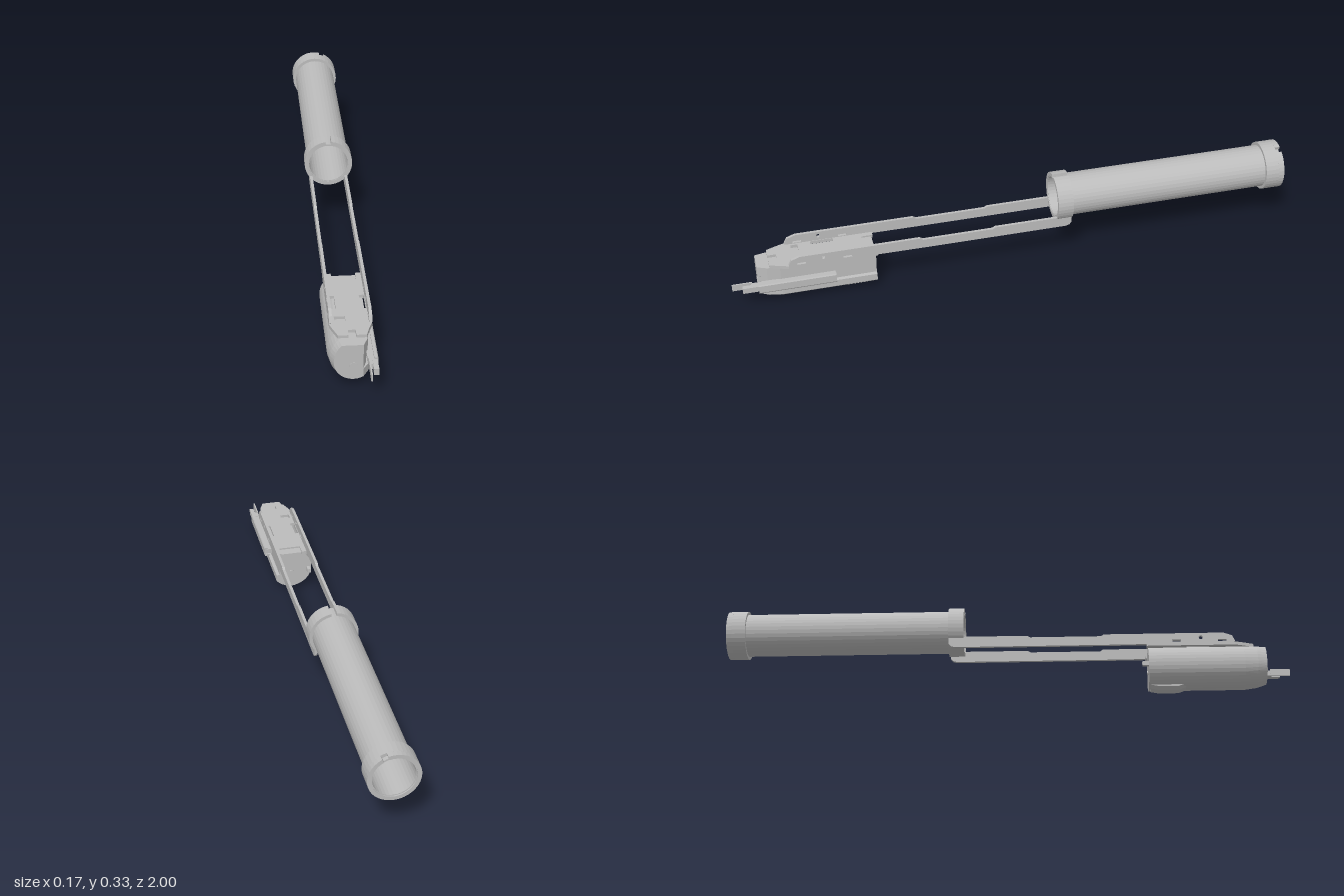
import * as THREE from 'three';

const steel = new THREE.MeshStandardMaterial({ color: 0xbcbcbc, flatShading: true, side: THREE.DoubleSide });
steel.name = 'grey steel';

const AXIS_Y = 0.245;

function add(group, name, geometry) {
  const mesh = new THREE.Mesh(geometry, steel);
  mesh.name = name;
  group.add(mesh);
  return mesh;
}

const vectors = (points) => points.map(([x, y]) => new THREE.Vector2(x, y));

function rectHole(x0, x1, y0, y1) {
  return new THREE.Path(vectors([[x0, y0], [x0, y1], [x1, y1], [x1, y0]]));
}

function addBox(group, name, x0, x1, y0, y1, z0, z1) {
  const mesh = add(group, name, new THREE.BoxGeometry(x1 - x0, y1 - y0, z1 - z0));
  mesh.position.set((x0 + x1) / 2, (y0 + y1) / 2, (z0 + z1) / 2);
}

function extrude(shape, depth) {
  return new THREE.ExtrudeGeometry(shape, { depth, bevelEnabled: false, curveSegments: 18 });
}

// Ring around the tube axis, with an optional gap at a given angle
function ring(inner, outer, z0, z1, gap = 0, at = Math.PI / 2) {
  const shape = new THREE.Shape();
  if (gap) {
    shape.absarc(0, 0, outer, at + gap, at + 2 * Math.PI - gap, false);
    shape.absarc(0, 0, inner, at + 2 * Math.PI - gap, at + gap, true);
  } else {
    shape.absarc(0, 0, outer, 0, 2 * Math.PI, false);
    shape.holes.push(new THREE.Path().absarc(0, 0, inner, 0, 2 * Math.PI, true));
  }
  return extrude(shape, z1 - z0).translate(0, AXIS_Y, z0);
}

// Skin over equal-length cross-sections [z, points], closed by end caps
function loft(sections) {
  const n = sections[0][1].length;
  const last = sections.length - 1;
  const positions = [];
  const index = [];
  for (const [z, pts] of sections) for (const [x, y] of pts) positions.push(x, y, z);
  for (let s = 0; s < last; s++) {
    for (let i = 0; i < n; i++) {
      const a = s * n + i, b = s * n + (i + 1) % n;
      index.push(a, b, b + n, a, b + n, a + n);
    }
  }
  const cap = (s) => THREE.ShapeUtils.triangulateShape(vectors(sections[s][1]), []);
  for (const [a, b, c] of cap(0)) index.push(a, c, b);
  for (const [a, b, c] of cap(last)) index.push(last * n + a, last * n + b, last * n + c);
  const geometry = new THREE.BufferGeometry();
  geometry.setAttribute('position', new THREE.Float32BufferAttribute(positions, 3));
  geometry.setIndex(index);
  const flat = geometry.toNonIndexed();
  flat.computeVertexNormals();
  return flat;
}

// Counter-clockwise body section: round left and bottom, grooved right flank
function bodySection(radius, flank, upper, groove) {
  const pts = [];
  const start = Math.PI - Math.asin(0.062 / 0.078);
  const end = 2 * Math.PI - Math.acos(flank / radius);
  for (let i = 0; i <= 20; i++) {
    const a = start + (end - start) * i / 20;
    const height = a < Math.PI ? 0.078 : radius;
    pts.push([radius * Math.cos(a), 0.09 + height * Math.sin(a)]);
  }
  pts.push([flank, 0.064], [groove, 0.066], [groove, 0.11], [upper, 0.112], [upper, 0.152]);
  return pts;
}

function makeTube() {
  const tube = new THREE.Group();
  tube.name = 'tube';
  add(tube, 'tubeWall', ring(0.07, 0.0755, -0.995, -0.157));
  add(tube, 'rearCollar', ring(0.073, 0.0865, -0.98, -0.932));
  add(tube, 'rearCollarNotched', ring(0.073, 0.0865, -1, -0.98, 0.12, 1.2));
  add(tube, 'frontCollar', ring(0.073, 0.0865, -0.21, -0.155, 0.12));
  return tube;
}

// Side arm profile in (z, y): raised ends, slim middle, web rising to the collar
function makeArm(side) {
  const shape = new THREE.Shape(vectors([
    [0.80, 0.165], [0.79, 0.158], [0.33, 0.156], [-0.185, 0.156], [-0.20, 0.160], [-0.208, 0.170],
    [-0.208, 0.196], [0.07, 0.196], [0.08, 0.190], [0.33, 0.190], [0.34, 0.197], [0.76, 0.197], [0.79, 0.186],
  ]));
  shape.holes.push(new THREE.Path().absarc(0.68, 0.18, 0.007, 0, 2 * Math.PI, true));
  for (const z of [0.58, 0.74]) shape.holes.push(rectHole(z, z + 0.03, 0.165, 0.172));
  const geometry = extrude(shape, 0.01).rotateY(-Math.PI / 2).translate(0.005 + side * 0.063, 0, 0);
  const arm = new THREE.Mesh(geometry, steel);
  arm.name = side > 0 ? 'leftArm' : 'rightArm';
  return arm;
}

// Plate outline in (x, z), laid flat on the body
function makeTopPlate() {
  const shape = new THREE.Shape(vectors([
    [-0.068, 0.49], [-0.04, 0.49], [-0.04, 0.53], [0.04, 0.53], [0.04, 0.49], [0.066, 0.49],
    [0.066, 0.80], [0.055, 0.83], [0.045, 0.865], [0.012, 0.865], [0.012, 0.835], [-0.012, 0.835],
    [-0.012, 0.865], [-0.045, 0.865], [-0.058, 0.83], [-0.068, 0.80],
  ]));
  shape.holes.push(rectHole(-0.056, -0.04, 0.63, 0.71), rectHole(0.04, 0.056, 0.63, 0.71));
  shape.holes.push(rectHole(-0.05, -0.015, 0.755, 0.78));
  return extrude(shape, 0.012).rotateX(Math.PI / 2).translate(0, 0.162, 0);
}

function makeBody() {
  const body = new THREE.Group();
  body.name = 'body';
  add(body, 'bodyBlock', loft([
    [0.495, bodySection(0.078, 0.059, 0.052, 0.047)],
    [0.83, bodySection(0.078, 0.059, 0.052, 0.047)],
    [0.875, bodySection(0.072, 0.050, 0.045, 0.041)],
    [0.908, bodySection(0.061, 0.031, 0.031, 0.030)],
  ]));
  add(body, 'topPlate', makeTopPlate());
  addBox(body, 'rearBridge', -0.04, 0.04, 0.15, 0.156, 0.495, 0.53);

  // Round pin ends on both faces
  for (const [z, radius] of [[0.494, 0.007], [0.907, 0.014]]) {
    const pin = add(body, 'pinEnd', new THREE.CylinderGeometry(radius, radius, 0.006, 20));
    pin.rotation.x = Math.PI / 2;
    pin.position.set(0, 0.075, z);
  }
  addBox(body, 'rearNub', -0.071, -0.058, 0.074, 0.09, 0.472, 0.5);

  // Lug under the rear, sloping into the body
  const lug = (low) => [[-0.03, 0.025], [-0.029, low + 0.011], [-0.015, low + 0.002], [0.002, low],
    [0.02, low + 0.004], [0.036, low + 0.017], [0.036, 0.025]];
  add(body, 'bottomLug', loft([[0.5, lug(0.007)], [0.53, lug(0.001)], [0.6, lug(0.001)], [0.625, lug(0.011)]]));
  return body;
}

// Channel-shaped slide running along the grooved flank
function makeSlide() {
  const slide = new THREE.Group();
  slide.name = 'slide';
  const channel = new THREE.Shape(vectors([
    [0.056, 0.069], [0.074, 0.069], [0.077, 0.074], [0.077, 0.101], [0.074, 0.105], [0.064, 0.105],
    [0.064, 0.099], [0.071, 0.099], [0.071, 0.076], [0.056, 0.076],
  ]));
  add(slide, 'slideChannel', extrude(channel, 0.27).translate(0, 0, 0.64));
  addBox(slide, 'slideBar', 0.044, 0.072, 0.08, 0.098, 0.64, 0.9);
  addBox(slide, 'slideTip', 0.058, 0.074, 0.079, 0.1, 0.9, 0.965);
  addBox(slide, 'slideTongue', 0.047, 0.06, 0.08, 0.099, 0.9, 0.935);
  addBox(slide, 'slideHook', 0.046, 0.051, 0.079, 0.104, 0.93, 1);
  return slide;
}

export function createModel() {
  const model = new THREE.Group();
  model.name = 'slideAssembly';
  model.add(makeTube(), makeArm(1), makeArm(-1), makeBody(), makeSlide());
  return model;
}
